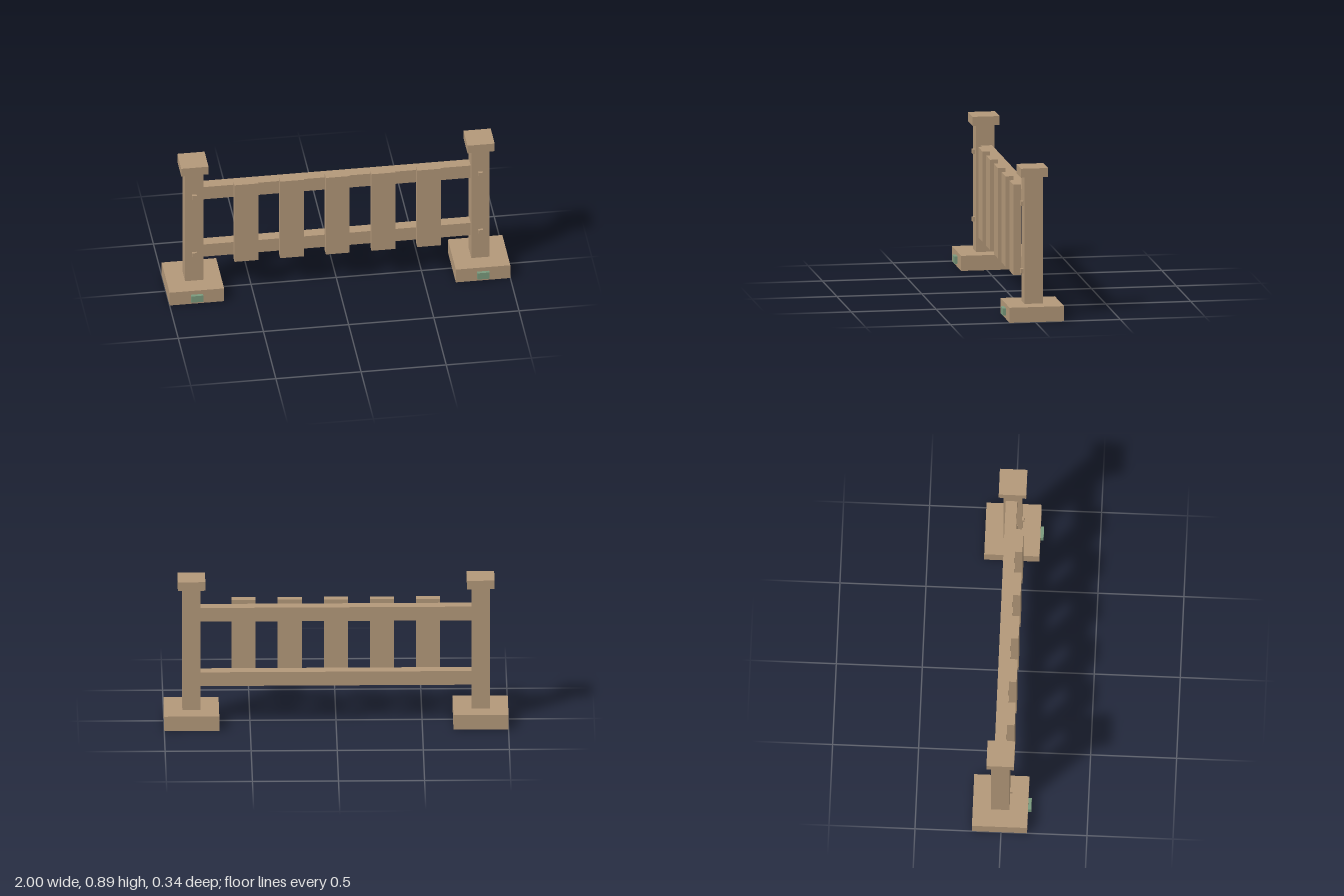
import * as THREE from 'three';

export function createModel() {
  const group = new THREE.Group();
  const wood = new THREE.MeshStandardMaterial({ color: 0xb4997a });
  wood.name = 'wood';
  const green = new THREE.MeshStandardMaterial({ color: 0x7b9b7e });
  green.name = 'green';

  // Box given by its minimum and maximum on each axis
  const box = (name, material, [x0, x1], [y0, y1], [z0, z1]) => {
    const mesh = new THREE.Mesh(new THREE.BoxGeometry(x1 - x0, y1 - y0, z1 - z0), material);
    mesh.name = name;
    mesh.position.set((x0 + x1) / 2, (y0 + y1) / 2, (z0 + z1) / 2);
    group.add(mesh);
  };
  const around = (centre, width) => [centre - width / 2, centre + width / 2];

  // Posts with foot, cap, pegs and green tag
  for (const [side, x] of [['left', 0.84], ['right', -0.84]]) {
    box(side + 'Foot', wood, around(x, 0.32), [0, 0.089], [-0.169, 0.152]);
    box(side + 'Post', wood, around(x, 0.107), [0.089, 0.84], [-0.062, 0.045]);
    box(side + 'Cap', wood, around(x, 0.16), [0.84, 0.893], [-0.088, 0.072]);
    box(side + 'Tag', green, around(x, 0.071), [0.02, 0.063], [0.152, 0.171]);
    for (const y of [0.275, 0.675])
      box(side + 'Peg', wood, around(x, 0.027), around(y, 0.027), [0.045, 0.06]);
  }

  // Horizontal rails between the posts
  for (const [name, y] of [['lowerRail', 0.275], ['upperRail', 0.675]])
    box(name, wood, [-0.79, 0.79], around(y, 0.085), [-0.048, 0.019]);

  // Upright slats on the front of the rails
  for (let i = -2; i <= 2; i++)
    box('slat', wood, around(i * 0.268, 0.14), [0.208, 0.742], [0.018, 0.063]);

  return group;
}
